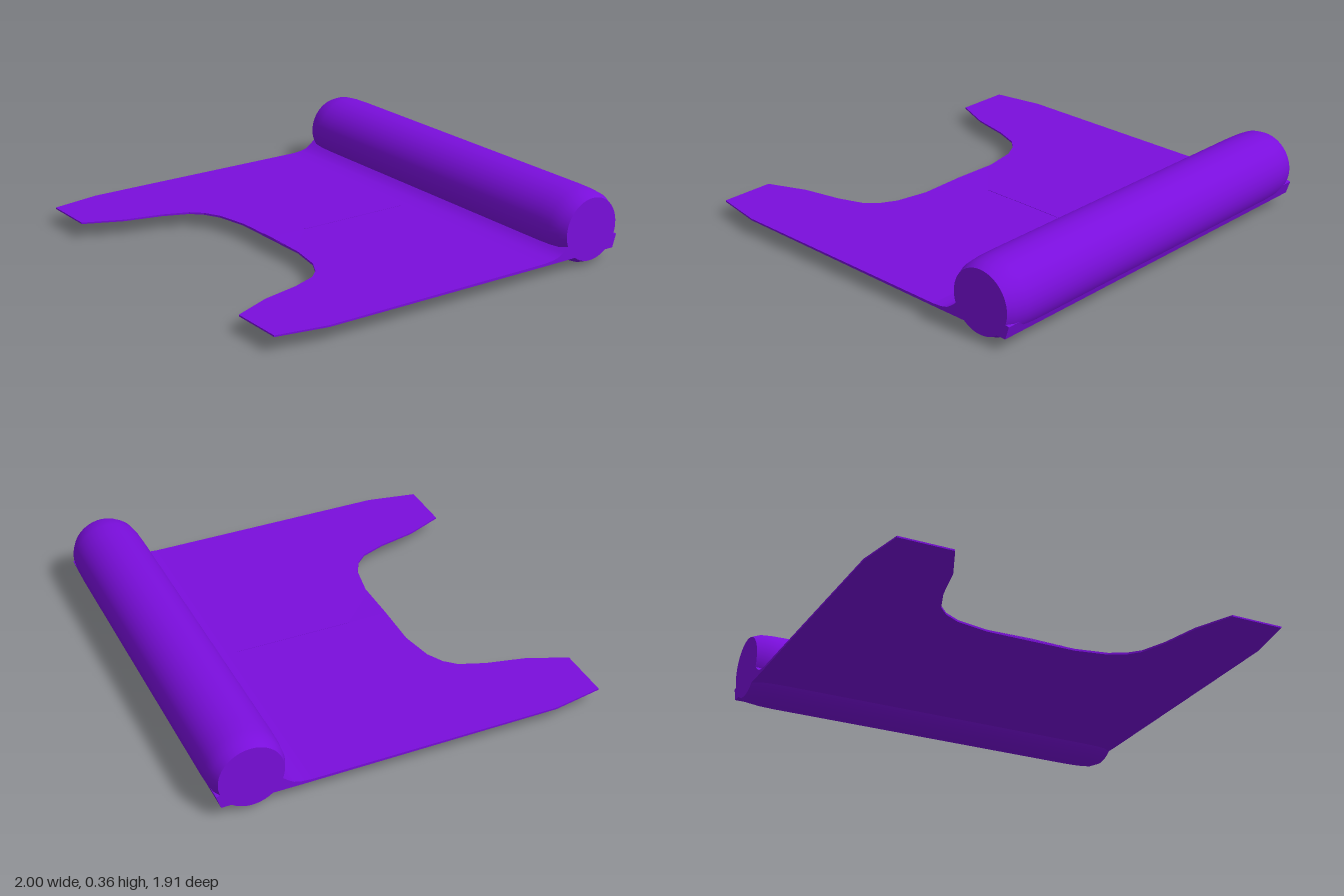
import * as THREE from 'three';
import { toCreasedNormals } from 'three/addons/utils/BufferGeometryUtils.js';

const purple = new THREE.MeshStandardMaterial({ color: 0x7a0edc });
purple.name = 'purple fabric';

// Height of the sheet's underside and upper side along its length
const underside = z => 0.008 + 0.0096 * (z + 0.5);
const upperside = z => 0.021 + 0.0058 * (z + 0.5);

function part(name, geometry) {
  const mesh = new THREE.Mesh(geometry, purple);
  mesh.name = name;
  return mesh;
}

// Flat sheet with two legs, extruded to unit depth and then sloped
function sheetGeometry() {
  const half = [
    [1, -0.55], [1, 0.71], [0.955, 0.957], [0.69, 0.957], [0.61, 0.77], [0.567, 0.58],
    [0.52, 0.457], [0.47, 0.403], [0.39, 0.36], [0.23, 0.329],
  ];
  const mirrored = half.map(([x, z]) => [-x, z]).reverse();
  const shape = new THREE.Shape([...half, ...mirrored].map(([x, z]) => new THREE.Vector2(x, -z)));
  const g = new THREE.ExtrudeGeometry(shape, { depth: 1, bevelEnabled: false });
  g.rotateX(-Math.PI / 2);
  const p = g.attributes.position;
  for (let i = 0; i < p.count; i++) {
    const z = p.getZ(i);
    p.setY(i, p.getY(i) > 0.5 ? upperside(z) : underside(z));
  }
  g.computeVertexNormals();
  return g;
}

// Rolled end with softly rounded rims and flat caps
function rollGeometry() {
  const rim = [[0, 1], [0.153, 1], [0.17, 0.96], [0.176, 0.9], [0.178, 0.82]];
  const profile = [
    ...rim.map(([r, x]) => new THREE.Vector2(r, -x)),
    ...rim.slice().reverse().map(([r, x]) => new THREE.Vector2(r, x)),
  ];
  const g = new THREE.LatheGeometry(profile, 48);
  g.rotateZ(-Math.PI / 2);
  return toCreasedNormals(g, 0.7);
}

// Base under the roll, flaring smoothly into the sheet
function baseGeometry() {
  const section = [
    [-0.922, 0.006], [-0.5, 0.008], [-0.5, 0.021], [-0.55, 0.025], [-0.585, 0.034],
    [-0.61, 0.05], [-0.64, 0.075], [-0.92, 0.075], [-0.943, 0.07],
  ];
  const shape = new THREE.Shape(section.map(([z, y]) => new THREE.Vector2(-z, y)));
  const g = new THREE.ExtrudeGeometry(shape, { depth: 2, bevelEnabled: false });
  g.rotateY(Math.PI / 2);
  g.translate(-1, 0, 0);
  return toCreasedNormals(g, 0.6);
}

// Shallow triangular fold at the middle of the cutout
function foldGeometry() {
  const apex = [0, upperside(0.13), 0.13];
  const mid = [0, 0.03, 0.329];
  const left = [0.2, upperside(0.329) + 0.0005, 0.329];
  const right = [-0.2, left[1], 0.329];
  const g = new THREE.BufferGeometry();
  g.setAttribute('position', new THREE.Float32BufferAttribute(
    [apex, mid, left, apex, right, mid, right, left, mid].flat(), 3));
  g.computeVertexNormals();
  return g;
}

export function createModel() {
  const model = new THREE.Group();
  model.name = 'rolled mat';

  const roll = part('roll', rollGeometry());
  roll.position.set(0, 0.127, -0.78);

  // Fine raised seam along the centre line
  const seam = part('centreSeam', new THREE.BoxGeometry(0.003, 0.003, 0.58));
  seam.position.set(0, upperside(-0.16), -0.16);
  seam.rotation.x = -0.0058;

  model.add(
    part('sheet', sheetGeometry()),
    part('rollBase', baseGeometry()),
    roll,
    seam,
    part('centreFold', foldGeometry()),
  );
  return model;
}
